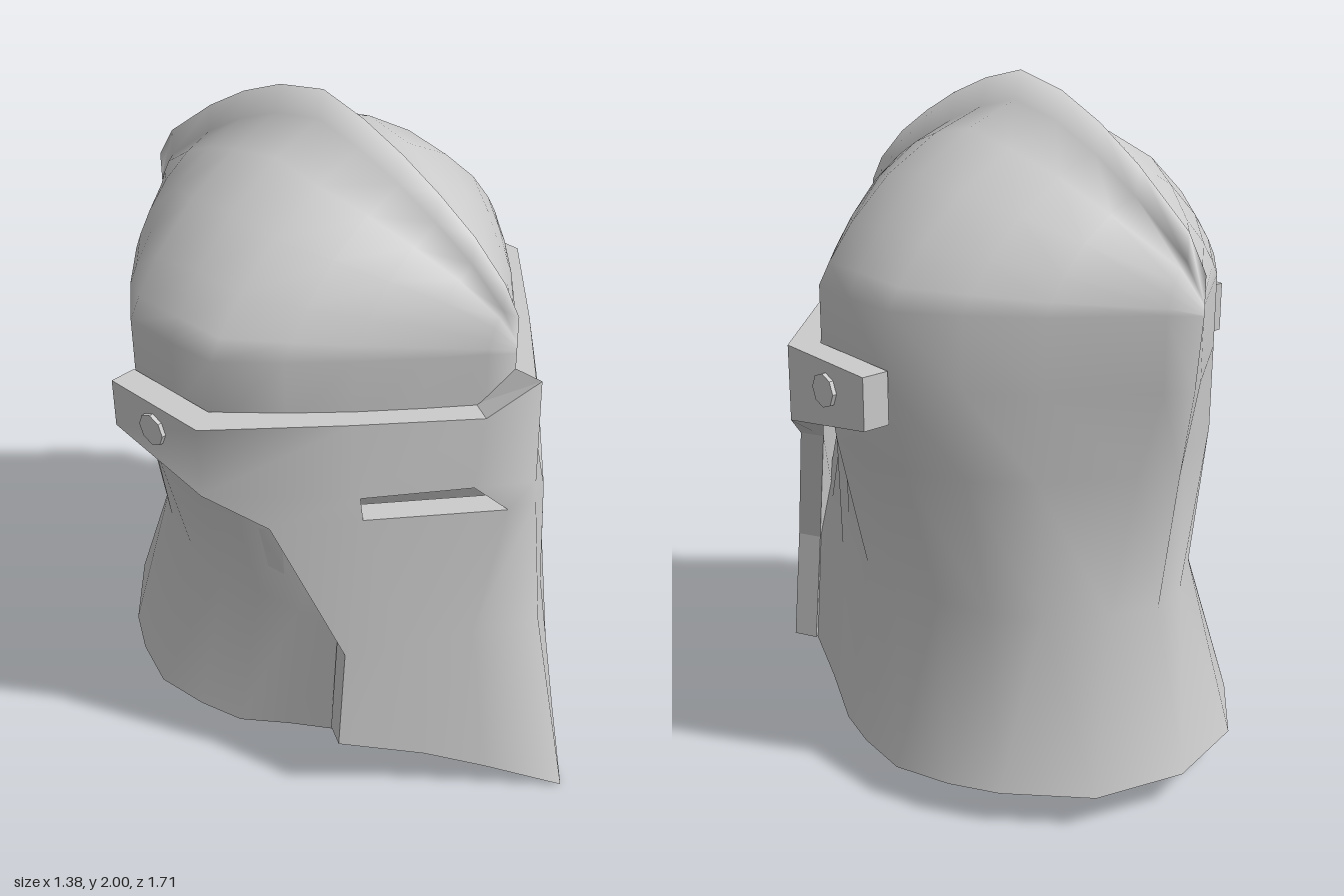
import * as THREE from 'three';
import { mergeGeometries } from 'three/addons/utils/BufferGeometryUtils.js';

const material = new THREE.MeshStandardMaterial({ color: 0xcccccc, side: THREE.DoubleSide });

// Indexed geometry from points and quads; smooth or faceted normals
function surface(points, quads, smooth) {
  let g = new THREE.BufferGeometry();
  g.setAttribute('position', new THREE.Float32BufferAttribute(points.flat(), 3));
  // diagonals mirror across the centre plane
  g.setIndex(quads.flatMap(([a, b, c, d]) =>
    points[a][0] + points[b][0] + points[c][0] + points[d][0] < 0
      ? [a, b, d, b, c, d] : [a, b, c, a, c, d]));
  if (!smooth) g = g.toNonIndexed();
  g.computeVertexNormals();
  return smooth ? g.toNonIndexed() : g;
}

// Plate with thickness from rows of points (null = nothing there).
// Rows run downward, columns to the right as seen from outside.
function plate(rows, inset, { wrap = false, hole = () => false } = {}) {
  const points = [], inner = [], ids = [], known = new Map();
  rows.forEach((row, r) => {
    ids.push(row.map((p, c) => {
      if (!p) return -1;
      const key = p.join();
      if (!known.has(key)) {
        known.set(key, points.length);
        points.push(p);
        inner.push(inset(p, r, c));
      }
      return known.get(key);
    }));
  });
  const quads = [], cols = rows[0].length;
  for (let r = 0; r < rows.length - 1; r++) {
    for (let c = 0; c < (wrap ? cols : cols - 1); c++) {
      const n = (c + 1) % cols;
      const q = [ids[r][c], ids[r + 1][c], ids[r + 1][n], ids[r][n]];
      if (Math.min(...q) >= 0 && !hole(r, c)) quads.push(q);
    }
  }
  // close every open edge with a wall between the outer and inner skins
  const edges = quads.flatMap(q => q.map((a, i) => [a, q[(i + 1) % 4]]));
  const used = new Set(edges.map(e => e.join()));
  const k = points.length;
  const walls = edges.filter(([a, b]) => !used.has(b + ',' + a))
    .map(([a, b]) => [b, a, a + k, b + k]);
  return mergeGeometries([
    surface(points, quads, true),
    surface(inner, quads.map(q => [...q].reverse()), true),
    surface([...points, ...inner], walls, false),
  ]);
}

const flip = p => p && [-p[0], p[1], p[2]];

function skullGeometry() {
  // half outline of the bowl, front to back: x, z, height of the comb above it
  const rim = [[0, .58, 1.57], [.06, .53, 1.65], [.19, .42, 1.75], [.33, .295, 1.83], [.46, .165, 1.9],
    [.59, .02, 1.96], [.6, -.13, 2], [.595, -.3, 1.965], [.47, -.45, 1.9], [.32, -.6, 1.81],
    [.07, -.785, 1.67], [0, -.85, 1.57]];
  // bowl curve: share of half width, share of height
  const curve = [[.035, 1], [.31, .87], [.59, .65], [.81, .37], [.94, .14], [1, 0]];
  const half = [rim.map(([, z, top]) => [0, top, z])];
  for (const [s, h] of curve) {
    half.push(rim.map(([x, z, top]) => [x * s, 1.46 + h * (top - 1.54), z]));
  }
  half.push(rim.map(([x, z]) => [x, 1.25, z < -.8 ? -.83 : z]));
  // neck guard, open at the face: x, z, y
  const neck = [
    [[.34, .29, 1], [.45, .17, 1], [.55, .02, 1], [.565, -.13, 1], [.55, -.3, 1], [.46, -.45, 1],
      [.33, -.59, 1], [.09, -.72, 1], [0, -.79, 1]],
    [[.415, .325, .58], [.44, .17, .58], [.455, .02, .58], [.46, -.13, .58], [.445, -.3, .58], [.39, -.45, .58],
      [.29, -.57, .58], [.14, -.68, .58], [0, -.73, .58]],
    [[.435, .34, .2], [.49, .17, .15], [.55, .01, .1], [.585, -.13, .1], [.6, -.3, .1], [.54, -.46, .1],
      [.46, -.59, .1], [.27, -.78, .1], [0, -.85, .1]],
  ];
  for (const row of neck) half.push([null, null, null, ...row.map(([x, z, y]) => [x, y, z])]);
  const rows = half.map(row => [...row, ...row.slice(1, -1).reverse().map(flip)]);
  return plate(rows, ([x, y, z], r) => [x * .95, r < 6 ? y - .03 : y, z * .96], { wrap: true });
}

function visorGeometry() {
  // half of the face plate, centre to rear: brow, slit top, slit bottom, cheek, lower edge
  const half = [
    [[0, 1.41, .67], [.11, 1.3, .575], [.38, 1.3, .335], [.68, 1.3, .05], [.68, 1.3, -.3]],
    [[0, 1.08, .675], [.14, 1.08, .57], [.39, 1.08, .375], [.68, 1.08, .05], [.68, 1.15, -.3]],
    [[0, 1.01, .68], [.08, 1.01, .645], [.39, 1.01, .385], [.56, .97, .19], null],
    [[0, .6, .72], [.16, .585, .605], [.33, .565, .48], [.46, .55, .38], null],
    [[0, 0, .855], [.17, .09, .685], [.3, .15, .555], [.49, .21, .38], null],
  ];
  const rows = half.map(row => [...row.slice(1).reverse().map(flip), ...row]);
  const inset = ([x, y, z], r, c) => {
    const n = Math.abs(c - 4), s = Math.sign(x);
    if (n === 0) return [0, y, z - (r === 4 ? .15 : .09)];
    if (n === 4) return [x - s * .08, y, z];
    if (n === 3 && r < 2) return [x - s * .08, y, z - .04];
    return [x - s * .035, y, z - .065];
  };
  // eye slits
  return plate(rows, inset, { hole: (r, c) => r === 1 && (c === 2 || c === 5) });
}

export function createModel() {
  const group = new THREE.Group();
  const add = (name, geometry) => {
    const mesh = new THREE.Mesh(geometry, material);
    mesh.name = name;
    group.add(mesh);
    return mesh;
  };
  add('skullAndNeckGuard', skullGeometry());
  add('visor', visorGeometry());
  // hinge rivets
  for (const [side, name] of [[1, 'leftRivet'], [-1, 'rightRivet']]) {
    const rivet = add(name, new THREE.CylinderGeometry(.048, .048, .03, 8).toNonIndexed());
    rivet.geometry.computeVertexNormals();
    rivet.rotation.z = Math.PI / 2;
    rivet.position.set(side * .677, 1.22, -.13);
  }
  return group;
}
